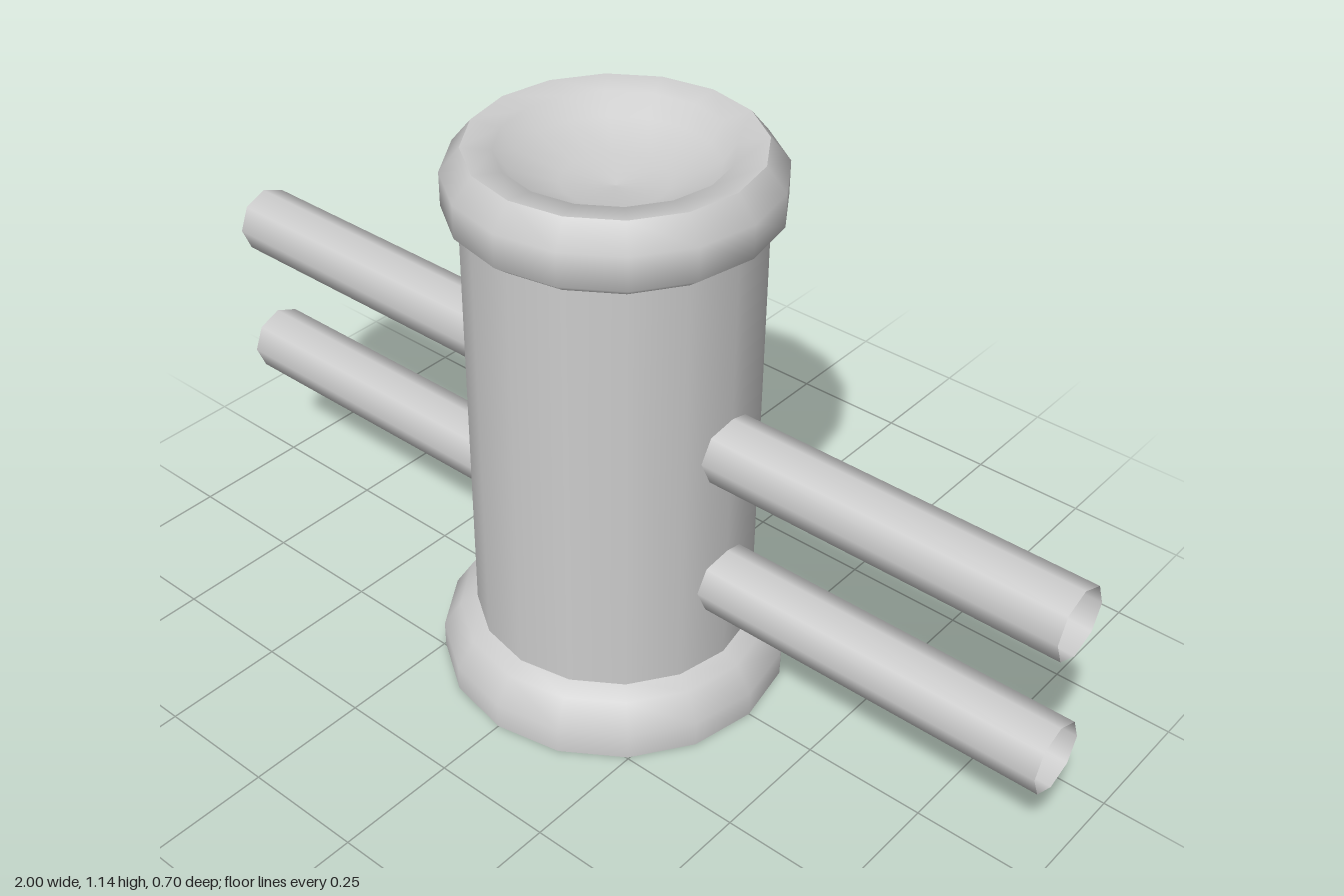
import * as THREE from 'three';

export function createModel() {
  const model = new THREE.Group();
  const grey = new THREE.MeshStandardMaterial({ color: 0xcccccc, side: THREE.DoubleSide });
  grey.name = 'light grey';

  const add = (name, geometry, parent = model) => {
    const mesh = new THREE.Mesh(geometry, grey);
    mesh.name = name;
    parent.add(mesh);
    return mesh;
  };
  // Sixteen-sided turned surface from [radius, height] pairs
  const turn = (name, points) =>
    add(name, new THREE.LatheGeometry(points.map(([r, y]) => new THREE.Vector2(r, y)), 16));

  // Hollow post
  turn('post', [[0.28, 0.1], [0.28, 1.04]]);

  // Foot ring, open in the middle
  turn('footOuter', [[0.35, 0], [0.35, 0.055], [0.315, 0.11], [0.275, 0.128]]);
  turn('footUnderside', [[0.25, 0], [0.35, 0]]);
  turn('footInner', [[0.28, 0.13], [0.25, 0.13], [0.25, 0]]);

  // Cap collar and its dished top
  turn('capCollar', [[0.275, 1.005], [0.31, 1.032], [0.31, 1.098], [0.272, 1.145]]);
  turn('capDish', [[0.272, 1.145], [0.215, 1.138], [0.19, 1.1], [0.1, 1.07], [0, 1.06]]);

  // Two open pipes on each side
  const inner = 0.25, length = 1 - inner;
  for (const [side, sign] of [['left', 1], ['right', -1]]) {
    for (const [level, y] of [['Lower', 0.31], ['Upper', 0.615]]) {
      const pipe = add(`${side}${level}Pipe`, new THREE.CylinderGeometry(0.07, 0.07, length, 8, 1, true));
      pipe.rotation.z = -sign * Math.PI / 2;
      pipe.position.set(sign * (inner + length / 2), y, 0);
    }
  }
  return model;
}
